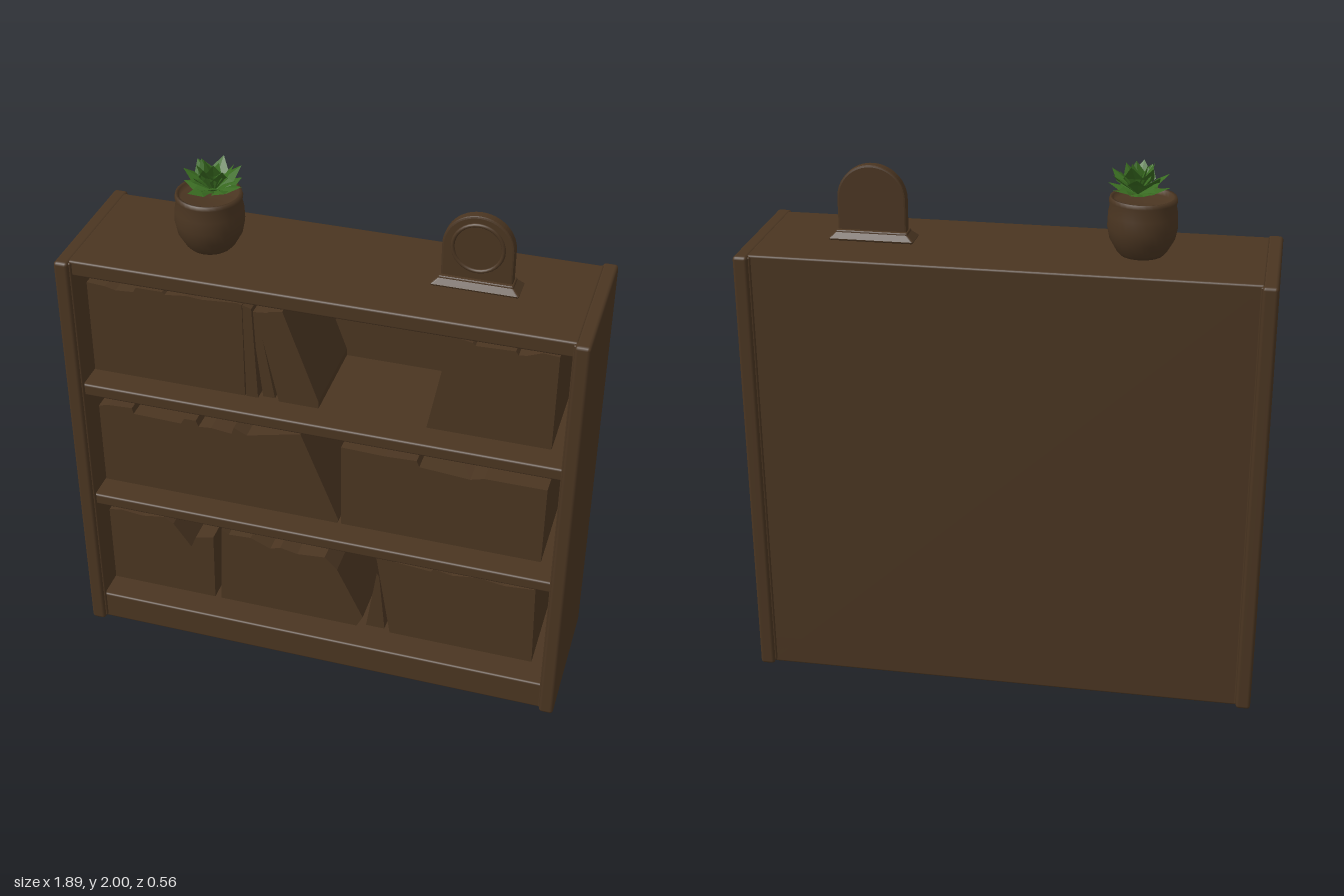
import * as THREE from 'three';
import { RoundedBoxGeometry } from 'three/addons/geometries/RoundedBoxGeometry.js';

const wood = new THREE.MeshStandardMaterial({ color: 0x4a3521 });
wood.name = 'darkWood';
const green = new THREE.MeshStandardMaterial({ color: 0x386a20, side: THREE.DoubleSide, flatShading: true });
green.name = 'leafGreen';

let seed = 7;
const rand = () => (seed = (seed * 16807) % 2147483647) / 2147483647;

function add(parent, name, geometry, material = wood, x = 0, y = 0, z = 0) {
  const mesh = new THREE.Mesh(geometry, material);
  mesh.name = name;
  mesh.position.set(x, y, z);
  parent.add(mesh);
  return mesh;
}

// Box given by its limits on each axis
function board(parent, name, x0, x1, y0, y1, z0, z1, r = 0.008) {
  return add(parent, name, new RoundedBoxGeometry(x1 - x0, y1 - y0, z1 - z0, 2, r), wood,
    (x0 + x1) / 2, (y0 + y1) / 2, (z0 + z1) / 2);
}

// Books as one outline: foot from x0 to x1 on the shelf, top edge listed from left to right
function books(parent, name, base, x0, x1, top, front = 0.145) {
  const back = -0.215;
  const outline = [[x0, base], [x1, base], ...top.slice().reverse()];
  const shape = new THREE.Shape(outline.map(([x, y]) => new THREE.Vector2(x, y)));
  add(parent, name, new THREE.ExtrudeGeometry(shape, { depth: front - back, bevelEnabled: false }), wood, 0, 0, back);
}

function createCase() {
  const g = new THREE.Group();
  g.name = 'bookcase';
  for (const s of [-1, 1]) {
    board(g, 'sidePanel', s * 0.919 - 0.027, s * 0.919 + 0.027, 0, 1.67, -0.28, 0.28, 0.012);
    // Small fillet strips where the sides meet the front and back
    for (const e of [-1, 1]) {
      board(g, 'edgeStrip', s * 0.893 - 0.007, s * 0.893 + 0.007, 0.01, 1.665, e * 0.258 - 0.008, e * 0.258 + 0.008, 0.005);
    }
  }
  board(g, 'topBoard', -0.9, 0.9, 1.61, 1.67, -0.256, 0.256);
  board(g, 'upperShelf', -0.9, 0.9, 1.093, 1.142, -0.25, 0.25);
  board(g, 'lowerShelf', -0.9, 0.9, 0.578, 0.625, -0.25, 0.25);
  board(g, 'plinth', -0.9, 0.9, 0, 0.12, -0.256, 0.256);
  board(g, 'backPanel', -0.9, 0.9, 0.005, 1.665, -0.256, -0.215);
  return g;
}

function createBooks() {
  const g = new THREE.Group();
  g.name = 'books';
  // Top row
  books(g, 'uprightBooks', 1.14, -0.89, -0.3, [[-0.89, 1.52], [-0.82, 1.515], [-0.78, 1.505], [-0.71, 1.51],
    [-0.7, 1.53], [-0.6, 1.53], [-0.59, 1.52], [-0.51, 1.53], [-0.45, 1.525], [-0.32, 1.535], [-0.3, 1.53]]);
  books(g, 'leaningBook', 1.14, -0.295, -0.25, [[-0.298, 1.53], [-0.265, 1.52]]);
  books(g, 'leaningBook', 1.14, -0.235, -0.19, [[-0.275, 1.5], [-0.25, 1.5]], 0.13);
  books(g, 'leaningBooks', 1.14, -0.17, -0.02, [[-0.25, 1.51], [-0.205, 1.515], [-0.2, 1.52], [-0.15, 1.53], [-0.02, 1.17]]);
  books(g, 'uprightBooks', 1.14, 0.38, 0.83, [[0.455, 1.545], [0.53, 1.53], [0.54, 1.52], [0.68, 1.525],
    [0.69, 1.51], [0.72, 1.515], [0.77, 1.535], [0.83, 1.53]]);
  // Middle row
  books(g, 'uprightAndLeaningBooks', 0.62, -0.89, 0.05, [[-0.89, 0.975], [-0.85, 0.985], [-0.755, 0.99],
    [-0.75, 0.965], [-0.56, 0.96], [-0.545, 0.985], [-0.5, 0.985], [-0.49, 0.96], [-0.44, 0.965],
    [-0.36, 0.955], [-0.35, 0.985], [-0.3, 0.96], [-0.2, 0.985], [-0.09, 1.01], [0.055, 0.64]]);
  books(g, 'uprightBooks', 0.62, 0.065, 0.83, [[0.065, 0.985], [0.23, 0.98], [0.35, 0.985], [0.36, 0.96],
    [0.55, 0.945], [0.6, 0.96], [0.83, 0.96]]);
  // Bottom row
  books(g, 'uprightBooks', 0.12, -0.89, -0.46, [[-0.89, 0.47], [-0.84, 0.48], [-0.75, 0.47], [-0.66, 0.485],
    [-0.62, 0.46], [-0.55, 0.36], [-0.53, 0.41], [-0.455, 0.43]]);
  books(g, 'uprightAndLeaningBooks', 0.12, -0.435, 0.13, [[-0.42, 0.48], [-0.39, 0.46], [-0.3, 0.465],
    [-0.22, 0.43], [-0.18, 0.445], [-0.11, 0.43], [0, 0.44], [0.05, 0.39], [0.155, 0.17]]);
  books(g, 'leaningBook', 0.12, 0.165, 0.24, [[0.205, 0.4], [0.215, 0.38]], 0.13);
  books(g, 'uprightBooks', 0.12, 0.265, 0.83, [[0.205, 0.495], [0.3, 0.485], [0.42, 0.475], [0.43, 0.49],
    [0.5, 0.475], [0.6, 0.49], [0.7, 0.475], [0.82, 0.485]]);
  return g;
}

function createClock() {
  const g = new THREE.Group();
  g.name = 'mantelClock';
  g.position.set(0.505, 1.67, 0);
  // Flared foot
  const foot = new RoundedBoxGeometry(0.31, 0.036, 0.1, 2, 0.008);
  const p = foot.attributes.position;
  for (let i = 0; i < p.count; i++) if (p.getY(i) > 0) p.setXYZ(i, p.getX(i) * 0.85, p.getY(i), p.getZ(i) * 0.7);
  foot.computeVertexNormals();
  add(g, 'clockFoot', foot, wood, 0, 0.018);
  // Arched body
  const arch = new THREE.Shape();
  arch.moveTo(-0.118, 0);
  arch.lineTo(0.118, 0);
  arch.lineTo(0.118, 0.15);
  arch.absarc(0, 0.15, 0.118, 0, Math.PI, false);
  arch.closePath();
  add(g, 'clockBody', new THREE.ExtrudeGeometry(arch, {
    depth: 0.03, bevelSize: 0.007, bevelThickness: 0.005, bevelSegments: 2, curveSegments: 20,
  }), wood, 0, 0, -0.015);
  add(g, 'clockRim', new THREE.TorusGeometry(0.088, 0.007, 8, 32), wood, 0, 0.155, 0.02);
  return g;
}

function createPlant() {
  const g = new THREE.Group();
  g.name = 'pottedPlant';
  g.position.set(-0.46, 1.668, 0);
  const profile = [[0, 0], [0.075, 0], [0.09, 0.016], [0.115, 0.06], [0.124, 0.105], [0.122, 0.15], [0.116, 0.18],
    [0.12, 0.196], [0.116, 0.21], [0.106, 0.208], [0.1, 0.19], [0, 0.185]];
  add(g, 'pot', new THREE.LatheGeometry(profile.map(([x, y]) => new THREE.Vector2(x, y)), 32));
  // Broad pointed leaf along +y, gently folded
  const leaf = new THREE.BufferGeometry();
  leaf.setAttribute('position', new THREE.Float32BufferAttribute([
    0, 0, 0, -0.3, 0.58, 0.03, 0, 0.5, -0.05, 0.3, 0.58, 0.03, 0, 1, 0.03], 3));
  leaf.setIndex([0, 1, 2, 0, 2, 3, 1, 4, 2, 2, 4, 3]);
  leaf.computeVertexNormals();
  // Rosette rings: leaf count, tilt from upright, length, start height
  const rings = [[8, 1.25, 0.115, 0.215], [7, 0.9, 0.135, 0.215], [6, 0.52, 0.13, 0.215], [3, 0.2, 0.115, 0.22]];
  rings.forEach(([n, tilt, length, y], r) => {
    for (let i = 0; i < n; i++) {
      const m = add(g, 'leaf', leaf, green, 0.02, y, 0);
      m.rotation.set(tilt + (rand() - 0.5) * 0.25, ((i + r * 0.4) / n) * Math.PI * 2, (rand() - 0.5) * 0.3, 'YXZ');
      m.scale.setScalar(length * (0.88 + rand() * 0.12));
    }
  });
  return g;
}

export function createModel() {
  const model = new THREE.Group();
  model.name = 'bookcaseWithBooks';
  seed = 7;
  model.add(createCase(), createBooks(), createClock(), createPlant());
  return model;
}
